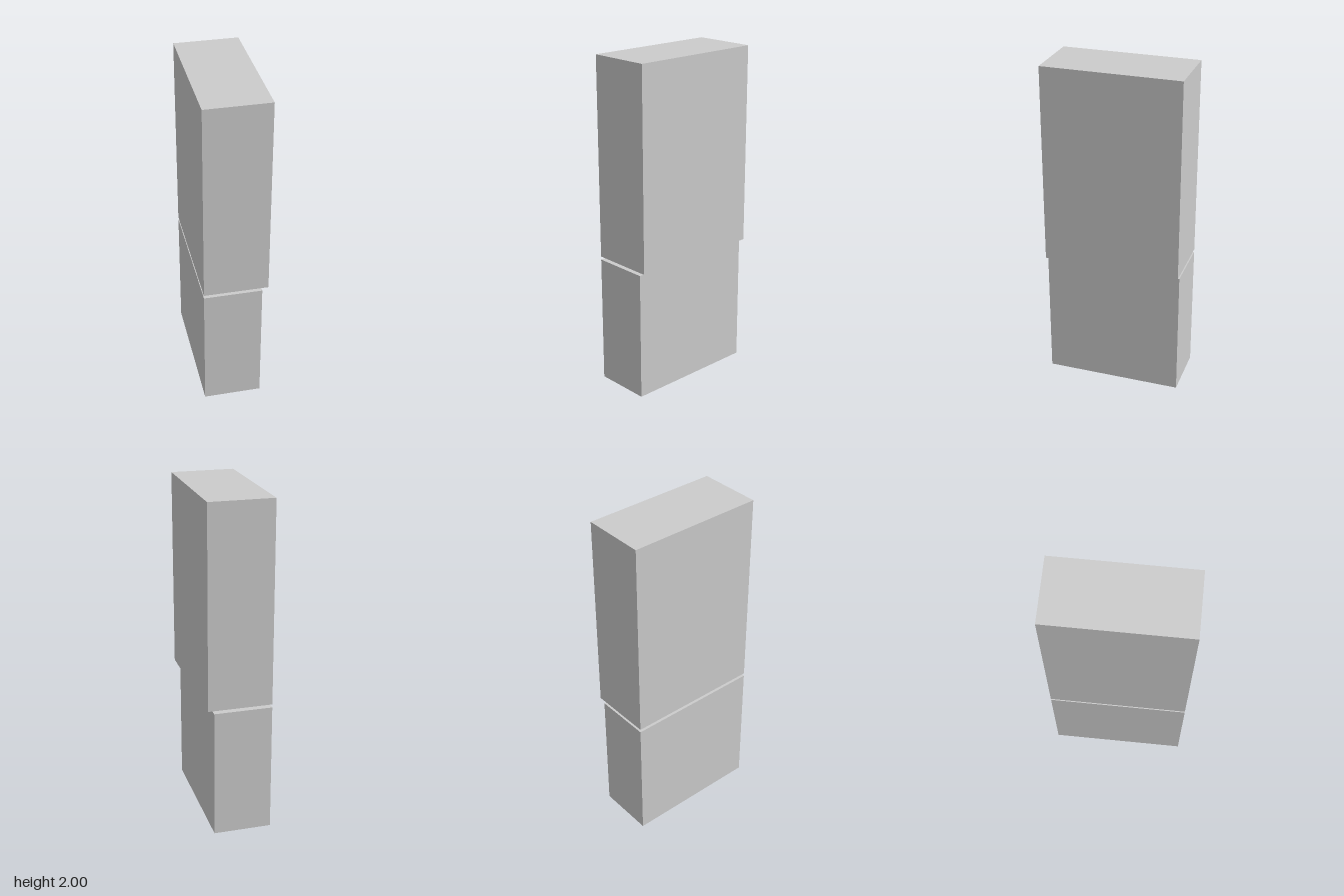
import * as THREE from 'three';

export function createModel() {
  const group = new THREE.Group();
  const material = new THREE.MeshStandardMaterial({ color: 0xcccccc });
  const depth = 0.824;

  // Box given by its extents in x and y, centred on z = 0
  function addPanel(name, x0, x1, y0, y1) {
    const mesh = new THREE.Mesh(new THREE.BoxGeometry(x1 - x0, y1 - y0, depth), material);
    mesh.position.set((x0 + x1) / 2, (y0 + y1) / 2, 0);
    mesh.name = name;
    group.add(mesh);
  }

  // Lower block, flush on the right side and set back on the left
  addPanel('lowerBlock', -0.191, 0.155, 0, 0.779);
  // Upper block, separated by a narrow gap
  addPanel('upperBlock', -0.191, 0.191, 0.798, 2);

  return group;
}
